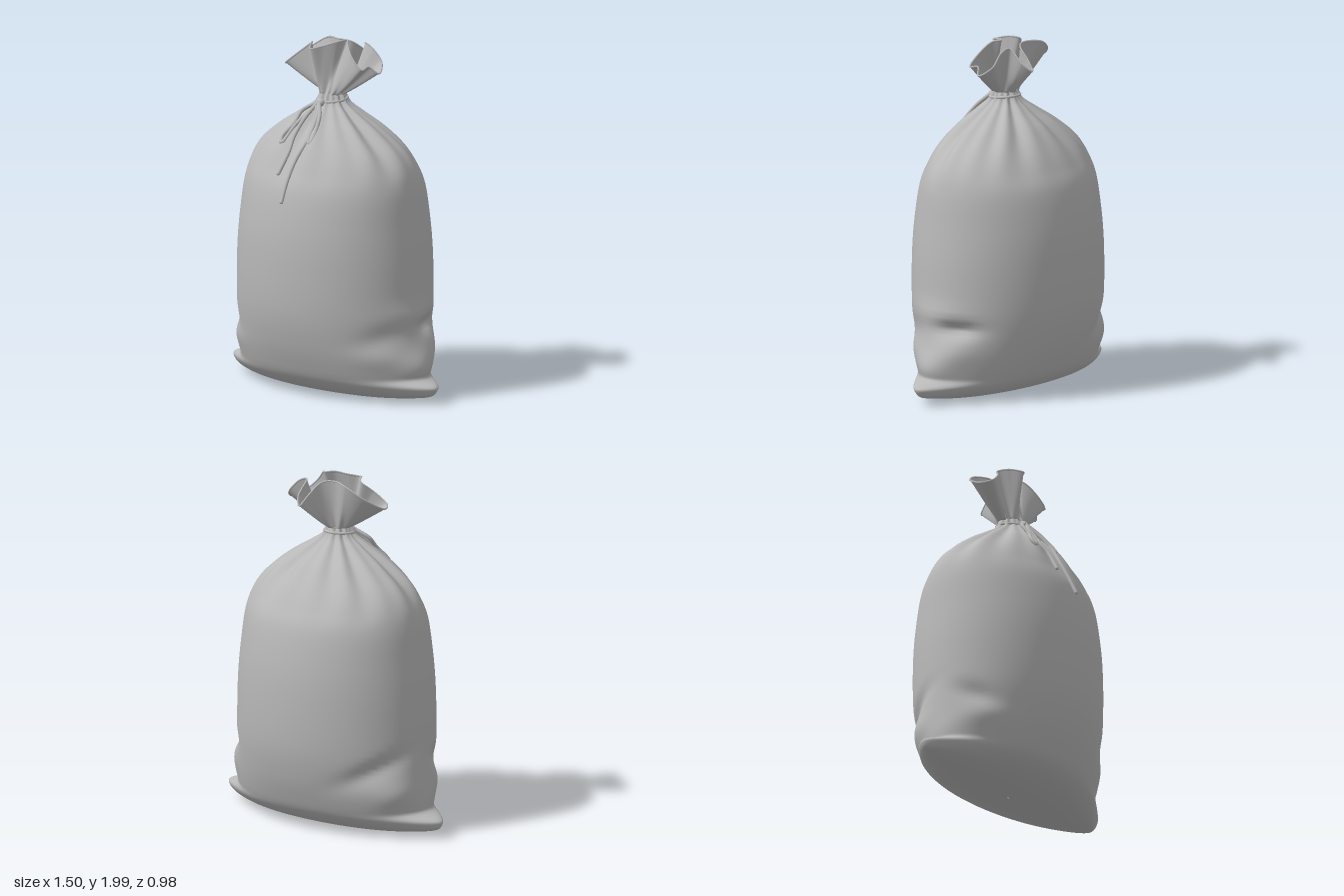
import * as THREE from 'three';
import { ParametricGeometry } from 'three/addons/geometries/ParametricGeometry.js';

const TAU = Math.PI * 2;
const bell = (d, s, power = 2) => Math.exp(-Math.pow(Math.abs(d / s), power));
const smooth = THREE.MathUtils.smoothstep;
const curve = (pts, closed = false) =>
  new THREE.CatmullRomCurve3(pts.map((p) => new THREE.Vector3(...p)), closed);

// Sack profile: half width, height, half depth
const profile = curve([
  [0.01, 0.006, 0.004], [0.28, 0.007, 0.08], [0.47, 0.012, 0.145], [0.56, 0.028, 0.21],
  [0.6, 0.055, 0.27], [0.618, 0.09, 0.32], [0.625, 0.13, 0.355], [0.627, 0.2, 0.39],
  [0.615, 0.32, 0.435], [0.603, 0.5, 0.475], [0.59, 0.8, 0.488], [0.572, 1.0, 0.475],
  [0.548, 1.2, 0.435], [0.515, 1.3, 0.385], [0.45, 1.39, 0.33], [0.31, 1.5, 0.243],
  [0.17, 1.59, 0.145], [0.095, 1.645, 0.09], [0.072, 1.69, 0.07],
]);

// Soft dents and bulges: angle, height, angular spread, vertical spread, amount, slant
const dents = [
  [0.3, 0.43, 0.25, 0.045, -0.045, 0], [0.3, 0.3, 0.3, 0.08, 0.025, 0],
  [-0.5, 0.38, 0.3, 0.07, -0.015, 0.1], [-0.6, 0.27, 0.3, 0.07, 0.012, 0],
  [3.6, 0.4, 0.25, 0.06, -0.025, -0.15], [3.75, 0.27, 0.3, 0.07, 0.015, 0],
  [2.5, 0.4, 0.4, 0.06, -0.03, 0.2], [2.65, 0.26, 0.3, 0.08, 0.025, 0.1],
  [0, 0.2, 0.35, 0.1, 0.04, 0], [0, 0.5, 0.4, 0.07, 0.015, 0],
];

function sackPoint(u, v, out) {
  const a = u * TAU;
  const p = profile.getPoint(Math.min(Math.max(v, 0), 1));
  const y = p.y;
  // gathered pleats radiating from the neck
  const w = Math.pow(smooth(y, 1.15, 1.62), 1.5);
  let r = 1 + w * (0.055 * Math.sin(9 * a + 0.6) + 0.055 * Math.sin(14 * a + 2) + 0.03 * Math.sin(5 * a));
  for (const [da, dy, sa, sy, k, slant] of dents) {
    const d = Math.atan2(Math.sin(a - da), Math.cos(a - da));
    r += (k / 0.6) * bell(d, sa) * bell(y - dy - slant * d, sy);
  }
  // blunt pinched corners at the bottom
  const c = Math.cos(a);
  const ear = 0.128 * bell(y - 0.075, 0.052, 4) * bell(Math.sin(a), 0.46, 1.6) * smooth(p.x, 0.4, 0.6);
  const lean = smooth(y, 1.2, 1.65);
  return out.set(p.x * r * c + ear * Math.sign(c), y, -p.z * r * Math.sin(a) + 0.02 * lean);
}

// Wavy edge of the open mouth
const rim = curve([
  [0.29, 1.83, -0.04], [0.25, 1.88, -0.11], [0.18, 1.95, -0.11], [0.12, 1.97, -0.12],
  [0.11, 1.89, -0.21], [0.07, 1.85, -0.25], [0.05, 1.9, -0.2], [0.02, 1.965, -0.11],
  [-0.05, 1.975, -0.08], [-0.15, 1.965, -0.11], [-0.25, 1.9, -0.07], [-0.3, 1.83, 0.05],
  [-0.27, 1.84, 0.11], [-0.2, 1.9, 0.09], [-0.14, 1.96, 0.04], [-0.1, 1.97, 0.09],
  [-0.05, 1.955, 0.15], [0, 1.97, 0.1], [0.05, 1.99, 0.045], [0.075, 1.995, -0.02],
  [0.11, 1.985, 0.02], [0.18, 1.92, 0.06], [0.25, 1.86, 0.06], [0.25, 1.87, 0],
], true);

function ruffPoint(u, v, out) {
  sackPoint(u, 1, out);
  const e = rim.getPoint(((u % 1) + 1) % 1);
  const k = Math.pow(Math.max(v, 0), 0.92);
  return out.set(
    THREE.MathUtils.lerp(out.x, e.x, k),
    THREE.MathUtils.lerp(out.y, e.y, v),
    THREE.MathUtils.lerp(out.z, e.z, k),
  );
}

// Cord paths lie on the front slope of the sack
const onFront = ([x, y]) => {
  const d = 1.65 - y;
  return [x, y, 0.135 + 0.9 * d - 0.45 * d * d];
};
const cordPaths = {
  longCordEnd: [[0, 1.65], [0.035, 1.58], [0.045, 1.48], [0.02, 1.36], [0.015, 1.25], [0.02, 1.14]],
  shortCordEnd: [[-0.01, 1.65], [-0.045, 1.57], [-0.06, 1.47], [-0.05, 1.4], [-0.065, 1.28]],
  rightBowLoop: [[-0.02, 1.65], [-0.09, 1.6], [-0.1, 1.54], [-0.14, 1.46], [-0.125, 1.43], [-0.085, 1.53], [-0.02, 1.63]],
  leftBowLoop: [[0.0, 1.65], [0.05, 1.59], [0.075, 1.47], [0.06, 1.45], [0.035, 1.54], [0.0, 1.63]],
};

export function createModel() {
  const group = new THREE.Group();
  const cloth = new THREE.MeshStandardMaterial({ color: 0xb8b8b8, side: THREE.DoubleSide });
  cloth.name = 'grey cloth';
  const add = (name, geometry) => {
    const mesh = new THREE.Mesh(geometry, cloth);
    mesh.name = name;
    group.add(mesh);
    return mesh;
  };

  add('sackBody', new ParametricGeometry(sackPoint, 144, 130));
  add('ruffledMouth', new ParametricGeometry(ruffPoint, 192, 16));
  add('mouthHem', new THREE.TubeGeometry(rim, 192, 0.005, 6, true));

  // Cloth drawn shut inside the neck
  const gather = add('neckGather', new THREE.CircleGeometry(0.072, 32));
  gather.rotation.x = -Math.PI / 2;
  gather.position.set(0, 1.695, 0.02);

  // Thin cord tied round the neck, with knot and bow
  const tie = add('neckCord', new THREE.TorusGeometry(0.084, 0.008, 8, 40));
  tie.rotation.x = Math.PI / 2 + 0.1;
  tie.position.set(0, 1.66, 0.023);
  const knot = add('knot', new THREE.SphereGeometry(0.024, 16, 12));
  knot.position.set(-0.005, 1.65, 0.122);
  knot.scale.set(1.2, 1, 0.9);
  for (const [name, pts] of Object.entries(cordPaths)) {
    const path = curve(pts.map(onFront));
    add(name, new THREE.TubeGeometry(path, 32, 0.011, 8));
    const tip = add(name + 'Tip', new THREE.SphereGeometry(0.011, 8, 6));
    tip.position.copy(path.getPoint(1));
  }
  return group;
}
